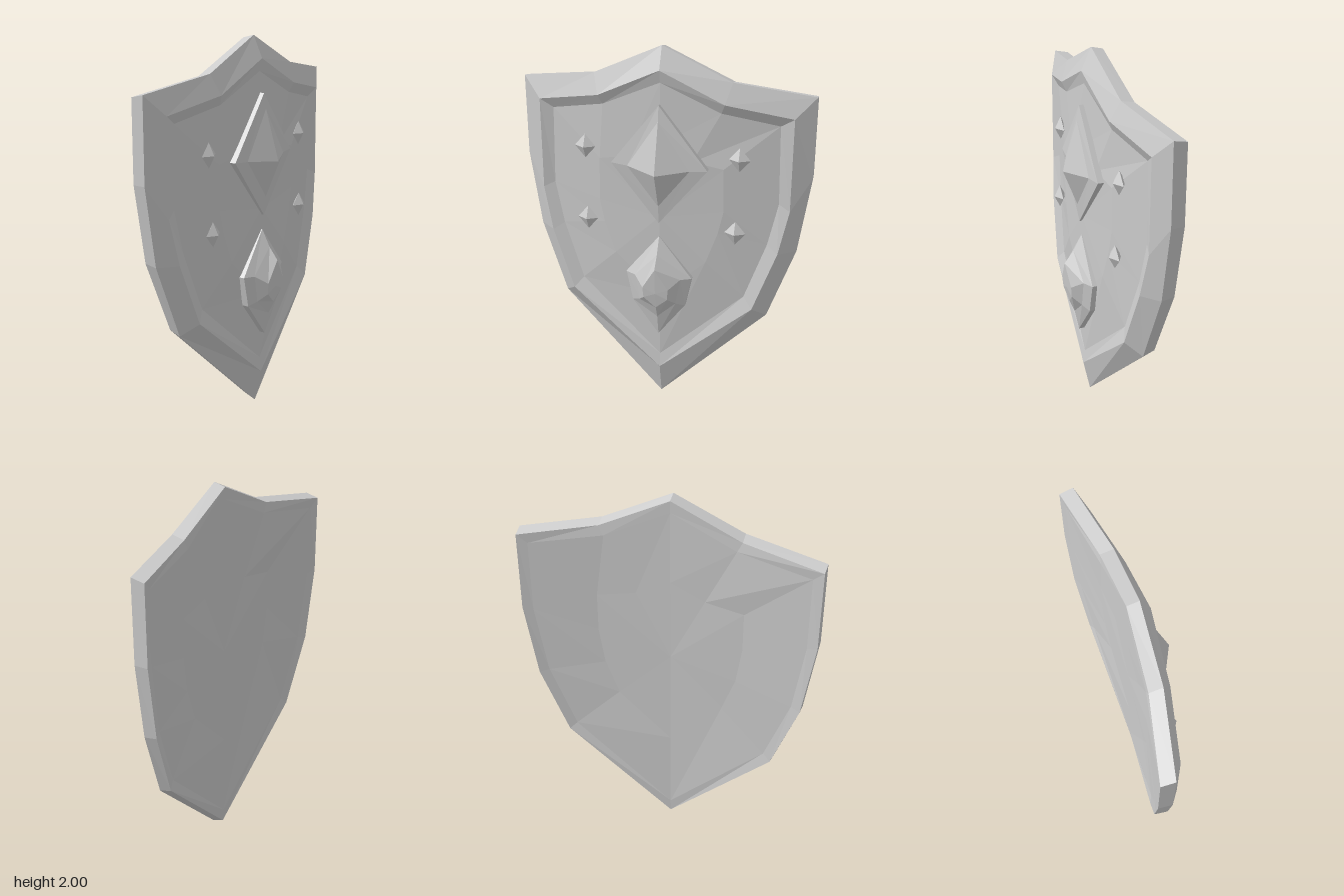
import * as THREE from 'three';

const material = new THREE.MeshStandardMaterial({ color: 0xcccccc, flatShading: true });

// Mirrors a half outline of [z, y, x] points (top to bottom) into a closed ring.
function ring(half) {
  const full = half.map(([z, y, x]) => [x, y, z]);
  for (let i = half.length - 2; i > 0; i--) {
    const [z, y, x] = half[i];
    full.push([x, y, -z]);
  }
  return full;
}

// Joins rings from back to front; a one-point ring closes an end.
function loft(name, rings) {
  const n = Math.max(...rings.map(r => r.length));
  const at = (r, i) => r[r.length === 1 ? 0 : i % n];
  const pos = [];
  for (let k = 0; k + 1 < rings.length; k++) {
    const a = rings[k], b = rings[k + 1];
    for (let i = 0; i < n; i++) {
      if (a.length > 1) pos.push(...at(a, i), ...at(a, i + 1), ...at(b, i + 1));
      if (b.length > 1) pos.push(...at(a, i), ...at(b, i + 1), ...at(b, i));
    }
  }
  const geometry = new THREE.BufferGeometry();
  geometry.setAttribute('position', new THREE.Float32BufferAttribute(pos, 3));
  geometry.computeVertexNormals();
  const mesh = new THREE.Mesh(geometry, material);
  mesh.name = name;
  return mesh;
}

// Shrinks an outline towards the shield's middle and lays it on a curved surface.
const curved = (half, s, x0, bend) =>
  ring(half.map(([z, y]) => [z * s, 1.1 + (y - 1.1) * s, x0 - bend * (z * s) ** 2]));

export function createModel() {
  const group = new THREE.Group();
  group.name = 'shield';

  // Body: bowed back, side wall, sloping rim, sunken front panel
  const back = [[0, 1.985, -0.06], [0.36, 1.82, -0.075], [0.765, 1.755, -0.155],
    [0.765, 1.34, -0.158], [0.705, 0.94, -0.15], [0.565, 0.56, -0.12], [0, 0.025, -0.055]];
  const edge = [[0, 2, 0.003], [0.36, 1.835, -0.005], [0.77, 1.77, -0.083],
    [0.77, 1.34, -0.086], [0.71, 0.93, -0.08], [0.57, 0.54, -0.055], [0, 0, 0.01]];
  const rim = [[0, 1.885, 0.055], [0.33, 1.73, 0.04], [0.67, 1.665, -0.025],
    [0.67, 1.17, -0.025], [0.62, 0.93, -0.005], [0.5, 0.6, 0.02], [0, 0.18, 0.05]];
  const panel = [[0, 1.82], [0.31, 1.68], [0.6, 1.62], [0.61, 1.2], [0.56, 0.97], [0.45, 0.66], [0, 0.26]];
  group.add(loft('body', [
    [[-0.06, 1.1, 0]],
    curved(back, 0.5, -0.06, 0.13),
    curved(back, 0.93, -0.06, 0.16),
    ring(back), ring(edge), ring(rim),
    curved(panel, 1, 0.04, 0.22),
    curved(panel, 0.55, 0.05, 0.22),
    [[0.055, 1.1, 0]],
  ]));

  // Upper diamond: flat plate carrying a pyramid
  const diamond = (top, mid, bottom, w, x) => ring([[0, top, x], [w, mid, x], [0, bottom, x]]);
  group.add(loft('diamondPlate', [
    [[0.0, 1.385, 0]],
    diamond(1.71, 1.385, 1.07, 0.255, 0.0),
    diamond(1.71, 1.385, 1.07, 0.255, 0.068),
    diamond(1.63, 1.38, 1.17, 0.165, 0.08),
    [[0.157, 1.365, 0]],
  ]));

  // Lower jewel: six-sided base, stepped facets and a tilted front face
  const jewel = (x, top, wide, low, bottom) => ring([[0, top, x[0]], [...wide, x[1]], [...low, x[2]], [0, bottom, x[3]]]);
  group.add(loft('jewel', [
    [[0.0, 0.7, 0]],
    jewel([0, 0, 0, 0], 0.99, [0.18, 0.765], [0.145, 0.6], 0.41),
    jewel([0.058, 0.066, 0.068, 0.075], 0.99, [0.18, 0.765], [0.145, 0.6], 0.41),
    jewel([0.105, 0.095, 0.095, 0.1], 0.9, [0.125, 0.765], [0.1, 0.62], 0.53),
    jewel([0.155, 0.145, 0.14, 0.13], 0.835, [0.07, 0.72], [0.065, 0.66], 0.6),
    [[0.146, 0.69, 0]],
  ]));

  // Four eight-faced studs
  for (const [y, z, x] of [[1.445, 0.41, 0.02], [1.045, 0.4, 0.033]]) {
    for (const side of [1, -1]) {
      const stud = new THREE.Mesh(new THREE.OctahedronGeometry(1), material);
      stud.name = 'stud';
      stud.scale.set(0.033, 0.065, 0.056);
      stud.position.set(x, y, z * side);
      group.add(stud);
    }
  }
  return group;
}
